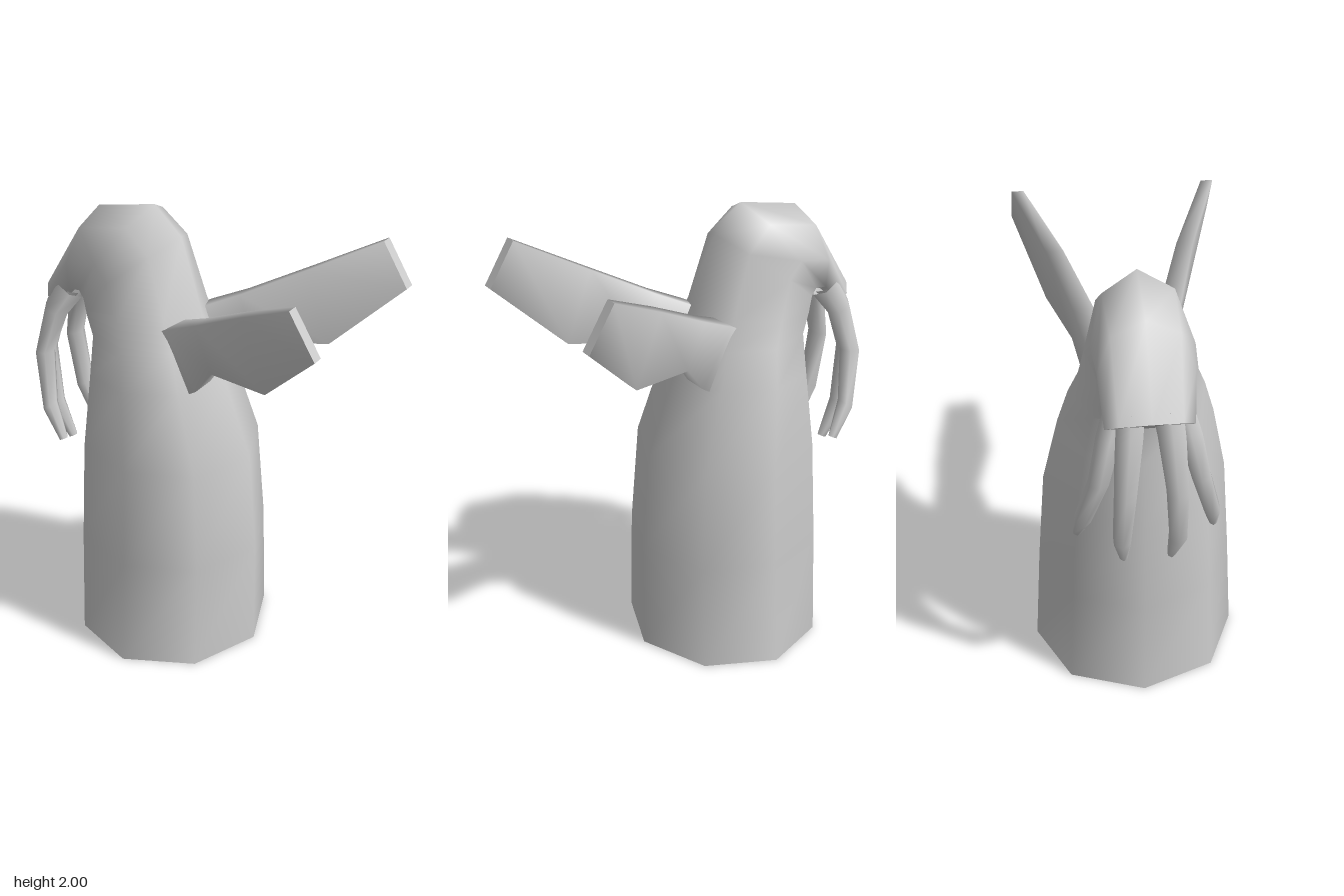
import * as THREE from 'three';

// The trunk is open underneath, so its inside is visible
const material = new THREE.MeshStandardMaterial({ color: 0xcccccc, side: THREE.DoubleSide });

// Skin a row of sections and close the far end. Each section is [ax, ay, bx, by, z, w]:
// A and B are opposite ends in the xy plane, z the centre depth, w the half width in z.
// Four sides give a box section, more sides an ellipse.
function loft(name, sections, sides, side = 1) {
  const positions = [], indices = [];
  const turn = sides === 4 ? Math.PI / 4 : 0, grow = 1 / Math.cos(turn);
  const ring = ([ax, ay, bx, by, z, w]) => {
    for (let j = 0; j < sides; j++) {
      const t = turn + (j / sides) * Math.PI * 2;
      const c = (grow * Math.cos(t)) / 2, s = grow * Math.sin(t);
      positions.push((ax + bx) / 2 + (ax - bx) * c, (ay + by) / 2 + (ay - by) * c, side * z + w * s);
    }
  };
  sections.forEach(ring);
  for (let i = 0; i < sections.length - 1; i++) {
    for (let j = 0; j < sides; j++) {
      const a = i * sides + j, b = i * sides + (j + 1) % sides;
      indices.push(a, a + sides, b, b, a + sides, b + sides);
    }
  }
  // The end cap has its own vertices so its rim stays sharp
  const base = positions.length / 3;
  ring(sections[sections.length - 1]);
  for (let j = 1; j < sides - 1; j++) indices.push(base, base + j + 1, base + j);

  const geometry = new THREE.BufferGeometry();
  geometry.setAttribute('position', new THREE.Float32BufferAttribute(positions, 3));
  geometry.setIndex(indices);
  geometry.computeVertexNormals();
  const mesh = new THREE.Mesh(geometry, material);
  mesh.name = name;
  return mesh;
}

export function createModel() {
  const model = new THREE.Group();
  model.name = 'hoodedCreature';

  // Upright trunk that bends over into the drooping head
  model.add(loft('bodyAndHead', [
    [0.275, 0, -0.565, 0, 0, 0.45],
    [0.275, 0.48, -0.565, 0.48, 0, 0.425],
    [0.24, 0.93, -0.55, 0.93, 0, 0.395],
    [0.11, 1.28, -0.515, 1.25, 0, 0.33],
    [0.05, 1.43, -0.505, 1.43, 0, 0.285],
    [0, 1.56, -0.55, 1.5, 0, 0.25],
    [-0.1, 1.88, -0.565, 1.52, 0, 0.225],
    [-0.23, 2.0, -0.58, 1.53, 0, 0.205],
    [-0.51, 1.945, -0.6, 1.53, 0, 0.195],
    [-0.72, 1.6, -0.62, 1.51, 0, 0.18],
  ], 8));

  for (const side of [1, -1]) {
    const label = side > 0 ? 'front' : 'back';

    // Flat paddle arm, flaring up and outward from inside the trunk
    model.add(loft(label + 'Arm', [
      [-0.02, 1.22, -0.18, 1.48, 0.09, 0.07],
      [0.085, 1.29, -0.06, 1.54, 0.135, 0.06],
      [0.18, 1.41, 0.1, 1.61, 0.185, 0.045],
      [0.48, 1.43, 0.36, 1.74, 0.28, 0.037],
      [0.76, 1.69, 0.645, 1.88, 0.415, 0.026],
    ], 4, side));

    // Long tentacle growing from the middle of the face
    model.add(loft(label + 'InnerTentacle', [
      [-0.69, 1.63, -0.56, 1.55, 0.075, 0.065],
      [-0.725, 1.52, -0.635, 1.49, 0.085, 0.062],
      [-0.77, 1.26, -0.695, 1.27, 0.105, 0.05],
      [-0.735, 0.99, -0.655, 1.03, 0.115, 0.04],
      [-0.64, 0.84, -0.6, 0.86, 0.1, 0.018],
    ], 6, side));

    // Shorter tentacle growing from the side of the face
    model.add(loft(label + 'OuterTentacle', [
      [-0.655, 1.64, -0.53, 1.56, 0.125, 0.055],
      [-0.695, 1.51, -0.585, 1.48, 0.16, 0.055],
      [-0.725, 1.3, -0.63, 1.31, 0.205, 0.045],
      [-0.65, 1.05, -0.585, 1.1, 0.265, 0.036],
      [-0.56, 0.93, -0.52, 0.95, 0.285, 0.018],
    ], 6, side));
  }
  return model;
}
